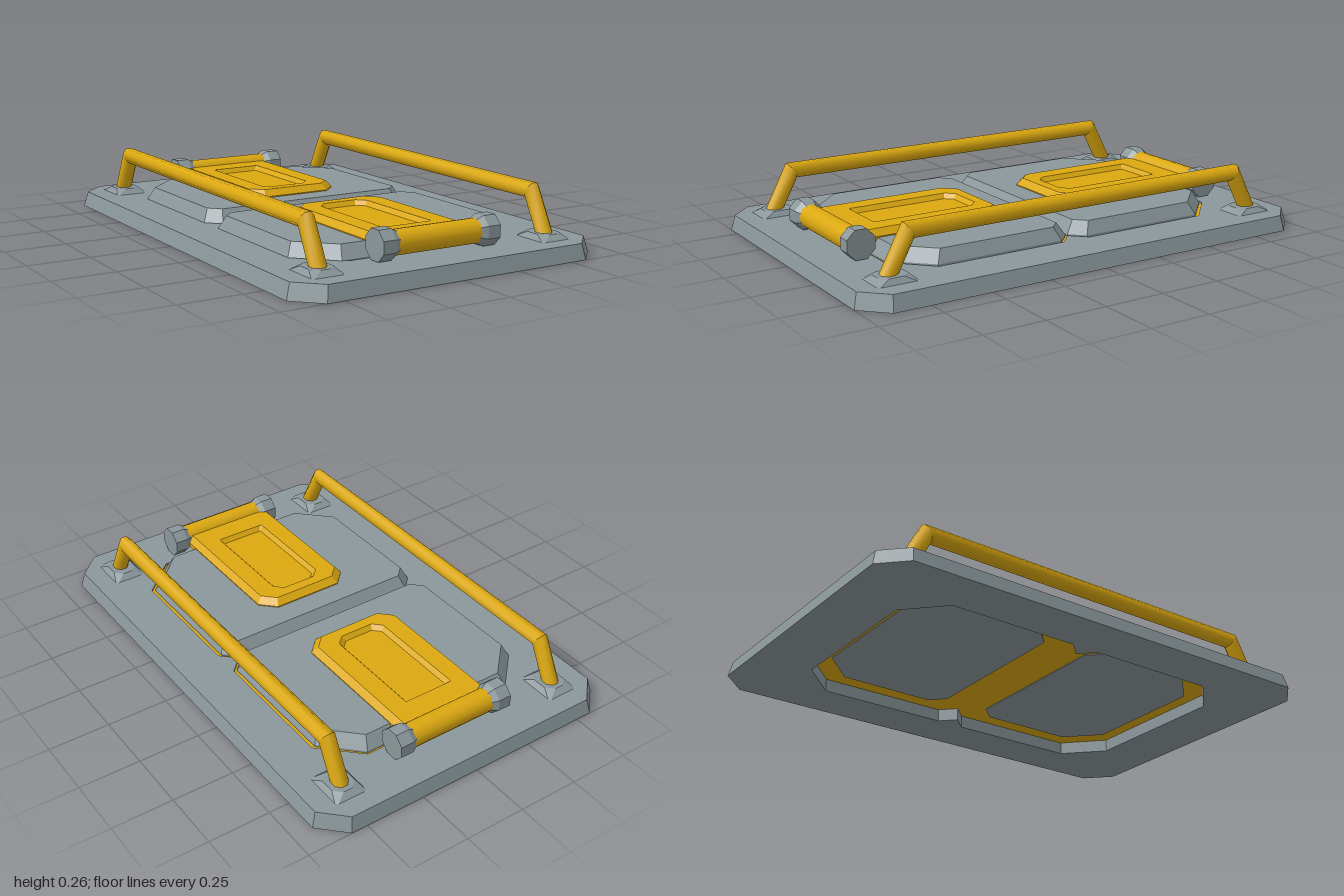
import * as THREE from 'three';
import { mergeGeometries } from 'three/addons/utils/BufferGeometryUtils.js';

// Chamfered rectangle in the xz plane, counter-clockwise from above.
// cf / cn: corner cuts at the z0 and z1 ends.
function oct(x0, x1, z0, z1, cf, cn) {
  return [[x0 + cn, z1], [x1 - cn, z1], [x1, z1 - cn], [x1, z0 + cf],
    [x1 - cf, z0], [x0 + cf, z0], [x0, z0 + cf], [x0, z1 - cn]];
}

// Flat-faced skin through rings [points, y]; s = -1 mirrors it in z.
function loft(rings, { bottom = true, top = true, s = 1 } = {}) {
  const pos = [];
  const tri = (a, b, c) => {
    for (const p of s > 0 ? [a, b, c] : [a, c, b]) pos.push(p[0], p[1], p[2] * s);
  };
  const R = rings.map(([pts, y]) => pts.map(([x, z]) => [x, y, z]));
  const n = R[0].length;
  for (let k = 0; k + 1 < R.length; k++) {
    for (let i = 0; i < n; i++) {
      const j = (i + 1) % n;
      tri(R[k][i], R[k][j], R[k + 1][j]);
      tri(R[k][i], R[k + 1][j], R[k + 1][i]);
    }
  }
  const last = R[R.length - 1];
  for (let i = 1; i + 1 < n; i++) {
    if (bottom) tri(R[0][0], R[0][i + 1], R[0][i]);
    if (top) tri(last[0], last[i], last[i + 1]);
  }
  const g = new THREE.BufferGeometry();
  g.setAttribute('position', new THREE.Float32BufferAttribute(pos, 3));
  g.computeVertexNormals();
  return g;
}

// Two joined octagons with a narrow waist.
function openingRing() {
  const right = [[0.41, 0], [0.47, -0.06], [0.47, -0.61], [0.32, -0.755]];
  const flip = (pts, sx, sz) => pts.map(([x, z]) => [x * sx, z * sz]);
  return [...right, ...flip(right, -1, 1).reverse(),
    ...flip(right.slice(1), -1, -1), ...flip(right.slice(1), 1, -1).reverse()];
}

// Flat sheet with a hole, facing up (dir = 1) or down (dir = -1).
function sheet(outer, hole, y, dir) {
  const v = (pts) => pts.map(([x, z]) => new THREE.Vector2(x, z));
  const shape = new THREE.Shape(v(outer));
  shape.holes.push(new THREE.Path(v(hole)));
  const g = new THREE.ShapeGeometry(shape).toNonIndexed();
  g.deleteAttribute('uv');
  return g.rotateX(-dir * Math.PI / 2).translate(0, y, 0);
}

// Eight-sided bar along a path in the yz plane, with mitred bends.
function bar(path, r) {
  const parts = [];
  const P = path.map(([y, z]) => new THREE.Vector2(z, y));
  const dirs = P.slice(1).map((p, i) => p.clone().sub(P[i]).normalize());
  const sections = P.map((p, i) => {
    const a = dirs[Math.max(0, i - 1)], b = dirs[Math.min(i, dirs.length - 1)];
    const t = a.clone().add(b).normalize();
    const m = new THREE.Vector2(-t.y, t.x).multiplyScalar(1 / t.dot(a));
    return Array.from({ length: 8 }, (_, k) => {
      const q = (k + 0.5) * Math.PI / 4;
      const u = r * Math.sin(q);
      return [r * Math.cos(q), p.y + m.y * u, p.x + m.x * u];
    });
  });
  for (let i = 0; i < dirs.length; i++) {
    const idx = [];
    for (let k = 0; k < 8; k++) {
      const j = (k + 1) % 8;
      idx.push(k, j, 8 + j, k, 8 + j, 8 + k);
    }
    const g = new THREE.BufferGeometry();
    g.setAttribute('position', new THREE.Float32BufferAttribute(
      [...sections[i], ...sections[i + 1]].flat(), 3));
    g.setIndex(idx);
    g.computeVertexNormals();
    parts.push(g);
  }
  return mergeGeometries(parts);
}

export function createModel() {
  const model = new THREE.Group();
  model.name = 'doubleHatch';
  const grey = new THREE.MeshStandardMaterial({ color: 0x8b979b });
  grey.name = 'grey metal';
  const yellow = new THREE.MeshStandardMaterial({ color: 0xdba810 });
  yellow.name = 'yellow paint';
  const add = (name, geo, mat, parent = model) => {
    const m = new THREE.Mesh(geo, mat);
    m.name = name;
    parent.add(m);
    return m;
  };

  // Base plate with a waisted opening
  const H = 0.062;
  const low = oct(-0.667, 0.667, -1, 1, 0.1, 0.1);
  const high = oct(-0.65, 0.65, -0.985, 0.985, 0.093, 0.093);
  const hole = openingRing();
  const inner = [...hole].reverse();
  const open = { bottom: false, top: false };
  add('basePlate', mergeGeometries([
    loft([[low, 0], [high, H]], open),
    loft([[inner, 0], [inner, H]], open),
    sheet(high, hole, H, 1),
    sheet(low, hole, 0, -1),
  ]), grey);

  // Yellow seal sheet inside the opening
  const seal = new THREE.ShapeGeometry(new THREE.Shape(hole.map(([x, z]) => new THREE.Vector2(x, z))));
  seal.rotateX(-Math.PI / 2).translate(0, 0.054, 0);
  const sealMat = yellow;
  add('sealTop', seal, sealMat);
  add('sealUnderside', seal.clone().rotateZ(Math.PI).translate(0, 0.106, 0), sealMat);

  for (const s of [-1, 1]) {
    // s = 1 is the back half, s = -1 its mirror at the front
    const half = new THREE.Group();
    half.name = s > 0 ? 'backDoor' : 'frontDoor';
    model.add(half);

    // Door leaf with sloped rim
    add('doorLeaf', loft([
      [oct(-0.49, 0.455, -0.745, -0.005, 0.14, 0.055), 0.056],
      [oct(-0.49, 0.455, -0.745, -0.005, 0.14, 0.055), 0.064],
      [oct(-0.465, 0.43, -0.712, -0.038, 0.13, 0.045), 0.115],
    ], { s }), grey, half);

    // Panel on the underside of the door
    add('undersidePanel', loft([
      [oct(-0.4, 0.4, -0.695, -0.1, 0.13, 0.06), 0.048],
      [oct(-0.4, 0.4, -0.695, -0.1, 0.13, 0.06), 0.053],
    ], { s }), grey, half);

    // Yellow hinge strap with a sunken middle
    add('hingeStrap', loft([
      [oct(-0.23, 0.19, -0.79, -0.137, 0.004, 0.06), 0.1],
      [oct(-0.23, 0.19, -0.79, -0.137, 0.004, 0.06), 0.119],
      [oct(-0.208, 0.168, -0.79, -0.162, 0.004, 0.05), 0.145],
      [oct(-0.13, 0.087, -0.675, -0.207, 0.004, 0.035), 0.145],
      [oct(-0.115, 0.072, -0.66, -0.222, 0.004, 0.03), 0.126],
    ], { s }), yellow, half);

    // Hinge barrel and its end caps
    const hy = 0.123, hz = -0.815 * s;
    const barrel = new THREE.CylinderGeometry(0.048, 0.048, 0.38, 16, 1, true);
    add('hingeBarrel', barrel.rotateZ(Math.PI / 2).translate(0, hy, hz), yellow, half);
    for (const side of [-1, 1]) {
      const profile = [[0, -0.045], [0.046, -0.045], [0.063, -0.015], [0.063, 0.04], [0, 0.04]];
      const cap = new THREE.LatheGeometry(profile.map(([r, y]) => new THREE.Vector2(r, y)), 8)
        .toNonIndexed();
      cap.computeVertexNormals();
      cap.rotateY(Math.PI / 8).rotateZ(-side * Math.PI / 2).translate(side * 0.219, hy, hz);
      add(side > 0 ? 'leftHingeCap' : 'rightHingeCap', cap, grey, half);
    }
  }

  // Grab rails on sloped feet
  for (const side of [-1, 1]) {
    const x = side * 0.503;
    const rail = bar([[0.062, 0.842], [0.232, 0.752], [0.232, -0.752], [0.062, -0.842]], 0.0325);
    add(side > 0 ? 'leftRail' : 'rightRail', rail.translate(x, 0, 0), yellow).material = yellow;
    for (const z of [-0.825, 0.825]) {
      add('railFoot', loft([
        [oct(x - 0.068, x + 0.068, z - 0.085, z + 0.085, 0.008, 0.008), 0.06],
        [oct(x - 0.05, x + 0.05, z - 0.06, z + 0.06, 0.03, 0.03), 0.083],
      ], { bottom: false }), grey);
    }
  }
  return model;
}
